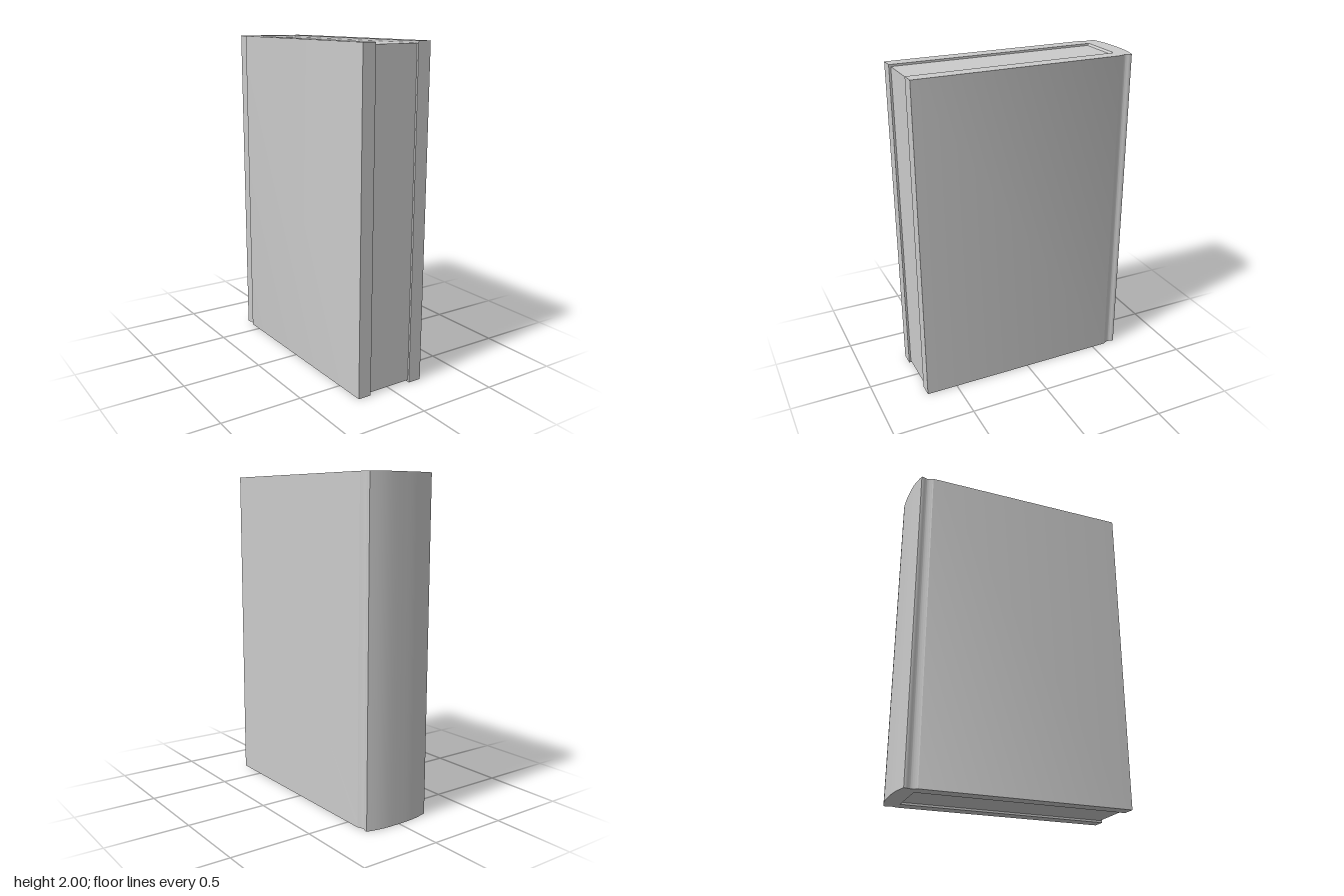
import * as THREE from 'three';
import { toCreasedNormals } from 'three/addons/utils/BufferGeometryUtils.js';

const HEIGHT = 2, HALF_W = 0.226, HALF_D = 0.695, PAGE_X = 0.142, SPINE_Z = -0.592;

export function createModel() {
  const book = new THREE.Group();
  book.name = 'book';
  const material = new THREE.MeshStandardMaterial({ color: 0xcccccc });
  const addPart = (name, geometry) => {
    const mesh = new THREE.Mesh(toCreasedNormals(geometry, 0.5), material);
    mesh.name = name;
    book.add(mesh);
  };

  // Cover: U-shaped plan with hinge grooves and a rounded spine (shape y is -z)
  const plan = new THREE.Shape();
  plan.moveTo(PAGE_X, -HALF_D);
  plan.lineTo(HALF_W, -HALF_D);
  plan.lineTo(HALF_W, 0.592);
  plan.quadraticCurveTo(0.205, 0.628, 0.215, 0.642);
  plan.quadraticCurveTo(0.222, 0.655, 0.22, 0.668);
  plan.bezierCurveTo(0.13, 0.693, 0.09, HALF_D, 0, HALF_D);
  plan.bezierCurveTo(-0.09, HALF_D, -0.13, 0.693, -0.22, 0.668);
  plan.quadraticCurveTo(-0.222, 0.655, -0.215, 0.642);
  plan.quadraticCurveTo(-0.205, 0.628, -HALF_W, 0.592);
  plan.lineTo(-HALF_W, -HALF_D);
  plan.lineTo(-PAGE_X, -HALF_D);
  plan.lineTo(-PAGE_X, -SPINE_Z);
  plan.lineTo(PAGE_X, -SPINE_Z);
  plan.closePath();
  const cover = new THREE.ExtrudeGeometry(plan, { depth: HEIGHT, bevelEnabled: false, curveSegments: 10 });
  addPart('cover', cover.rotateX(-Math.PI / 2));

  // Pages: slightly recessed block, rising to the cover edge where it meets the spine
  const inset = 0.012;
  const side = new THREE.Shape([
    [SPINE_Z, 0], [SPINE_Z + 0.01, inset], [HALF_D - inset, inset],
    [HALF_D - inset, HEIGHT - inset], [SPINE_Z + 0.01, HEIGHT - inset], [SPINE_Z, HEIGHT],
  ].map(([z, y]) => new THREE.Vector2(z, y)));
  const pages = new THREE.ExtrudeGeometry(side, { depth: 2 * PAGE_X, bevelEnabled: false });
  addPart('pages', pages.rotateY(-Math.PI / 2).translate(PAGE_X, 0, 0));

  return book;
}
